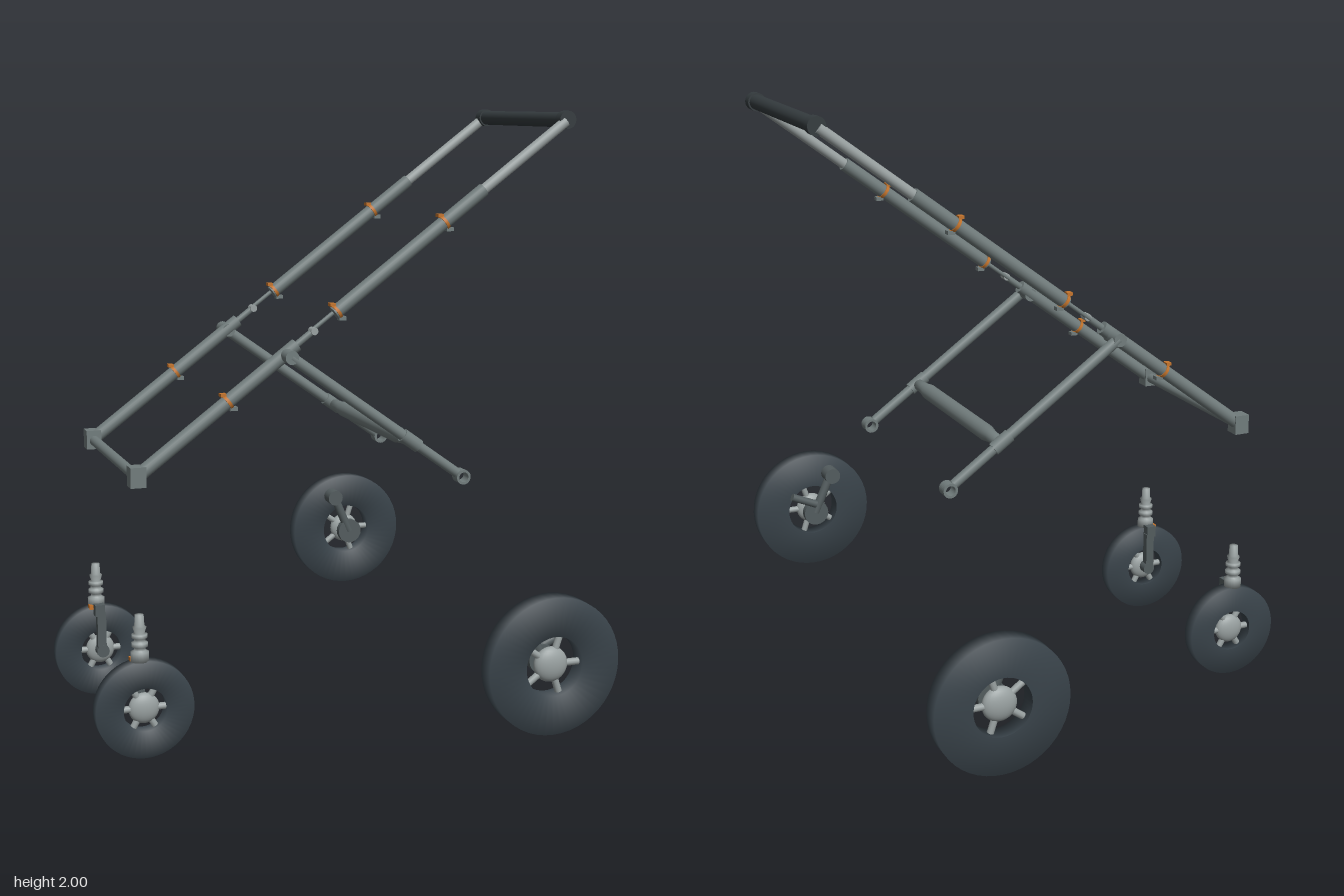
import * as THREE from 'three';

const mat = (name, color) => {
  const m = new THREE.MeshStandardMaterial({ color });
  m.name = name;
  return m;
};

export function createModel() {
  const steel = mat('grey tube', 0x717c7c);
  const light = mat('light metal', 0x99a1a1);
  const dark = mat('dark grip', 0x343b3e);
  const rubber = mat('tyre rubber', 0x39434a);
  const bracket = mat('bracket grey', 0x535c5e);
  const orange = mat('orange clip', 0xc4742c);

  const root = new THREE.Group();
  root.name = 'foldingTrolley';
  const V = (x, y, z) => new THREE.Vector3(x, y, z);

  const add = (parent, name, geo, material, pos) => {
    const m = new THREE.Mesh(geo, material);
    m.name = name;
    if (pos) m.position.copy(pos);
    parent.add(m);
    return m;
  };
  // Cylinder between two points
  const rod = (parent, name, a, b, r, material, r2 = r, seg = 20) => {
    const d = b.clone().sub(a);
    const m = add(parent, name, new THREE.CylinderGeometry(r2, r, d.length(), seg), material,
      a.clone().add(b).multiplyScalar(0.5));
    m.quaternion.setFromUnitVectors(V(0, 1, 0), d.normalize());
    return m;
  };
  // Point on the sloping side rail at a given x
  const rail = (x, z) => V(x, 1.394 + 0.745 * x, z);
  const leg = (x, z) => V(x, 1.126 - 0.715 * x, z);

  // Wheel with tyre, spokes and rounded hub, facing along z
  const wheel = (name, pos, ro, ri, h, hubR, spokes) => {
    const g = new THREE.Group();
    g.name = name;
    g.position.copy(pos);
    const profile = [[ri, -h], [ro, -h], [ro, h], [ri, h], [ri, -h]].map(p => new THREE.Vector2(...p));
    add(g, 'tyre', new THREE.LatheGeometry(profile, 48), rubber).rotation.x = Math.PI / 2;
    add(g, 'hub', new THREE.SphereGeometry(hubR, 24, 16), light).scale.z = 0.5;
    for (let i = 0; i < spokes; i++) {
      const a = (i / spokes) * Math.PI * 2 + 0.0;
      const c = Math.cos(a), s = Math.sin(a);
      rod(g, 'spoke', V(c * hubR * 0.7, s * hubR * 0.7, 0), V(c * (ri + 0.005), s * (ri + 0.005), 0),
        0.011, light, 0.011, 10);
    }
    root.add(g);
    return g;
  };

  // Handle and cross tubes
  rod(root, 'handleGrip', V(0.775, 1.973, -0.3), V(0.775, 1.973, 0.3), 0.024, dark);
  rod(root, 'lowerCrossbar', V(-0.66, 0.9, -0.31), V(-0.66, 0.9, 0.31), 0.017, steel);
  const barProfile = [[0, -0.345], [0.019, -0.345], [0.021, -0.29], [0.027, -0.25],
    [0.027, 0.25], [0.021, 0.29], [0.019, 0.345], [0, 0.345]].map(p => new THREE.Vector2(...p));
  add(root, 'legCrossbar', new THREE.LatheGeometry(barProfile, 20), steel, V(0.225, 0.965, 0)).rotation.x = Math.PI / 2;

  for (const s of [1, -1]) {
    const z = s * 0.317;
    const side = new THREE.Group();
    side.name = s > 0 ? 'frontSideFrame' : 'rearSideFrame';
    root.add(side);

    // Telescopic rail
    rod(side, 'handleEndCap', V(0.775, 1.973, s * 0.29), V(0.775, 1.973, s * 0.325), 0.029, dark);
    rod(side, 'innerRail', rail(0.47, z), rail(0.77, z), 0.017, light);
    rod(side, 'upperRail', rail(-0.02, z), rail(0.485, z), 0.022, steel);
    rod(side, 'lowerRail', rail(-0.65, z), rail(-0.145, z), 0.022, steel);
    for (const x of [-0.37, -0.012, 0.35]) {
      rod(side, 'clipBand', rail(x - 0.004, z), rail(x + 0.004, z), 0.025, orange);
      const c = rail(x, z);
      add(side, 'clipLug', new THREE.BoxGeometry(0.024, 0.012, 0.024), steel, c.clone().add(V(0.017, -0.022, 0)));
      add(side, 'clipTab', new THREE.BoxGeometry(0.018, 0.01, 0.024), orange, c.clone().add(V(-0.016, 0.022, 0)));
    }

    // Fold hinge between the two rails
    const zl = z - 0.012;
    rod(side, 'hingeLink', rail(-0.1, zl), rail(-0.01, zl), 0.007, steel, 0.007, 10);
    rod(side, 'hingePin', rail(-0.09, z - 0.016), rail(-0.09, z + 0.016), 0.012, light, 0.012, 12);
    rod(side, 'hingeStub', rail(-0.15, z), rail(-0.085, z), 0.011, steel, 0.011, 12);

    // Corner socket above the small wheel
    add(side, 'cornerSocket', new THREE.BoxGeometry(0.05, 0.064, 0.05), steel, V(-0.662, 0.903, z));

    // Swing leg with sleeve and eye end
    const zl2 = s * 0.365;
    rod(side, 'swingLeg', leg(-0.18, zl2), leg(0.24, zl2), 0.018, steel);
    rod(side, 'legEnd', leg(0.24, zl2), leg(0.385, zl2), 0.016, steel);
    rod(side, 'legSleeve', leg(0.195, zl2), leg(0.25, zl2), 0.022, steel);
    rod(side, 'legPivot', V(-0.18, 1.255, s * 0.3), V(-0.18, 1.255, s * 0.382), 0.022, steel);
    const eye = new THREE.Shape().absarc(0, 0, 0.024, 0, Math.PI * 2);
    eye.holes.push(new THREE.Path().absarc(0, 0, 0.016, 0, Math.PI * 2, true));
    add(side, 'axleEye', new THREE.ExtrudeGeometry(eye, { depth: 0.04, bevelEnabled: false, curveSegments: 16 }),
      steel, V(0.402, 0.838, zl2 - 0.02));

    // Small castor wheel
    wheel('castorWheel', V(-0.652, 0.16, z), 0.158, 0.07, 0.024, 0.05, 6);
    const stem = [[0, 0.315], [0.029, 0.315], [0.029, 0.345], [0.018, 0.35], [0.018, 0.36], [0.026, 0.363],
      [0.026, 0.375], [0.018, 0.378], [0.018, 0.388], [0.025, 0.391], [0.025, 0.402], [0.016, 0.405],
      [0.022, 0.425], [0.016, 0.43], [0.014, 0.465], [0, 0.465]].map(p => new THREE.Vector2(...p));
    add(side, 'castorStem', new THREE.LatheGeometry(stem, 20), light, V(-0.662, 0, z));
    add(side, 'castorArm', new THREE.BoxGeometry(0.03, 0.14, 0.026), bracket, V(-0.655, 0.23, s * 0.276));
    add(side, 'castorArmTop', new THREE.BoxGeometry(0.034, 0.04, 0.045), bracket, V(-0.66, 0.31, s * 0.285));
    rod(side, 'castorAxle', V(-0.652, 0.165, s * 0.262), V(-0.652, 0.165, s * 0.317), 0.022, bracket);
    add(side, 'castorBrake', new THREE.BoxGeometry(0.02, 0.016, 0.02), orange, V(-0.682, 0.317, s * 0.3));

    // Large wheel and its inner mount
    wheel('largeWheel', V(0.464, 0.365, s * 0.898), 0.214, 0.093, 0.03, 0.055, 5);
    rod(side, 'wheelMount', V(0.464, 0.365, s * 0.825), V(0.464, 0.365, s * 0.85), 0.046, bracket);
    rod(side, 'wheelAxle', V(0.464, 0.365, s * 0.84), V(0.464, 0.365, s * 0.9), 0.018, bracket);
    rod(side, 'mountArm', V(0.464, 0.365, s * 0.838), V(0.405, 0.5, s * 0.838), 0.016, bracket);
    rod(side, 'mountSocket', V(0.4, 0.505, s * 0.812), V(0.4, 0.505, s * 0.865), 0.029, bracket);
    if (s > 0) rod(side, 'brakeLever', V(0.464, 0.4, 0.828), V(0.555, 0.44, 0.828), 0.014, bracket);
  }
  return root;
}
